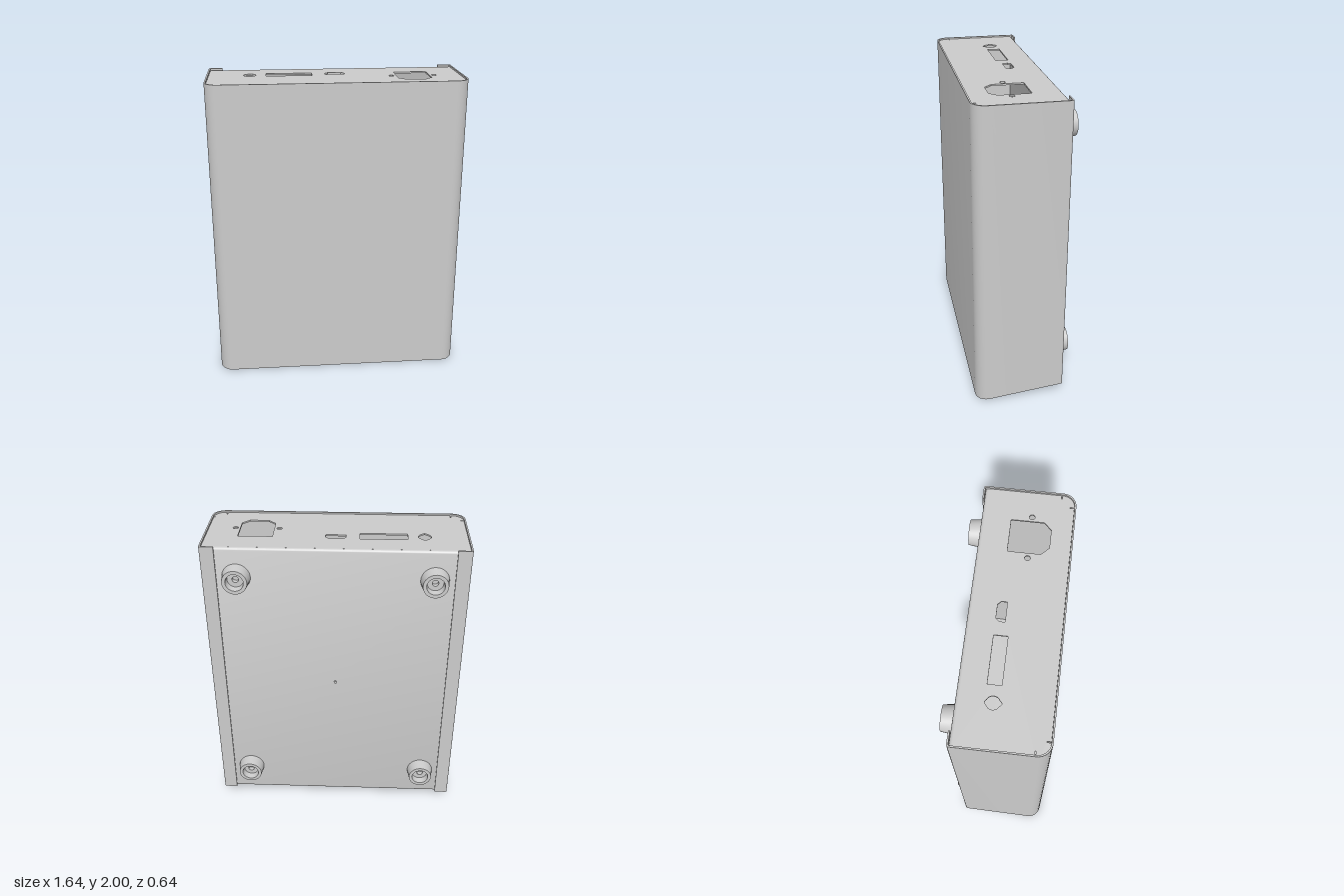
import * as THREE from 'three';
import { toCreasedNormals } from 'three/addons/utils/BufferGeometryUtils.js';

const material = new THREE.MeshStandardMaterial({ color: 0xcccccc, side: THREE.DoubleSide });
const coverCut = z => 0.005 + (0.32 - z) * 0.105; // slanted lower rim of the cover
const plateY = z => 0.065 - 0.055 * (z + 0.25); // underside of the bottom plate

function arc(cx, cz, r, from, to, n = 8) {
  return Array.from({ length: n + 1 }, (_, i) => {
    const a = THREE.MathUtils.degToRad(from + (to - from) * i / n);
    return [cx + r * Math.cos(a), cz + r * Math.sin(a)];
  });
}
const circle = (x, z, r, n = 20) => arc(x, z, r, 0, 360 - 360 / n, n - 1);
const rect = (x0, z0, x1, z1) => [[x0, z0], [x1, z0], [x1, z1], [x0, z1]];

// Plan outline inset by t, running from the right rear lip round the front to the left one
function outline(t, back, backRadius) {
  const w = 0.82 - t, front = 0.32 - t, r = 0.085 - t;
  const half = [
    [0.73, back],
    ...arc(w - backRadius, back + backRadius, backRadius, -90, 0, 4),
    ...arc(w - r, front - r, r, 0, 90, 10),
  ];
  return [...half, ...half.map(([x, z]) => [-x, z]).reverse()];
}

// Extrude an (x, z) plan upwards from y
function slab(plan, holes, depth, y = 0) {
  const vec = pts => pts.map(([x, z]) => new THREE.Vector2(x, -z));
  const shape = new THREE.Shape(vec(plan));
  shape.holes = holes.map(h => new THREE.Path(vec(h)));
  return new THREE.ExtrudeGeometry(shape, { depth, bevelEnabled: false })
    .rotateX(-Math.PI / 2).translate(0, y, 0);
}

// Extrude a (z, y) side profile across x0..x1
function across(profile, x0, x1) {
  const shape = new THREE.Shape(profile.map(([z, y]) => new THREE.Vector2(-z, y)));
  return new THREE.ExtrudeGeometry(shape, { depth: x1 - x0, bevelEnabled: false })
    .rotateY(Math.PI / 2).translate(x0, 0, 0);
}

// Move each vertex to a new height
function reshape(geo, rule) {
  const p = geo.attributes.position;
  for (let i = 0; i < p.count; i++) p.setY(i, rule(p.getY(i), p.getZ(i)));
  return geo;
}

const lathe = (pts, n = 32) =>
  new THREE.LatheGeometry(pts.map(([r, y]) => new THREE.Vector2(r, y)), n);

export function createModel() {
  const model = new THREE.Group();
  const add = (name, geo, parent = model) => {
    const mesh = new THREE.Mesh(toCreasedNormals(geo, 0.5), material);
    mesh.name = name;
    parent.add(mesh);
    return mesh;
  };

  // Wrap-around cover with narrow rear lips and a slanted lower rim
  const wrap = [...outline(0, -0.25, 0.012), ...outline(0.01, -0.24, 0.003).reverse()];
  add('cover', reshape(slab(wrap, [], 2), (y, z) => (y < 1 ? coverCut(z) : y)));

  // Top plate with connector openings
  const roundSocket = arc(-0.545, -0.03, 0.04, 25, 65, 3)
    .concat([[-0.535, 0.015], [-0.545, 0.02], [-0.555, 0.015]],
      arc(-0.545, -0.03, 0.04, 115, 245, 8),
      [[-0.555, -0.073], [-0.545, -0.077], [-0.535, -0.073]],
      arc(-0.545, -0.03, 0.04, 295, 360, 4));
  const smallPort = [[-0.06, -0.02], [-0.06, -0.055], [-0.04, -0.075],
    [0.047, -0.075], [0.067, -0.055], [0.067, -0.02]];
  const powerInlet = [[0.395, -0.06], [0.61, -0.06], [0.61, 0.14],
    [0.565, 0.185], [0.442, 0.185], [0.395, 0.138]];
  const slits = [];
  for (const s of [-1, 1]) {
    slits.push(rect(s * 0.727, 0.283, s * 0.733, 0.306));
    slits.push(rect(s * 0.787, 0.225, s * 0.806, 0.231));
  }
  add('topPlate', slab(outline(0.011, -0.22, 0.001), [
    roundSocket, rect(-0.44, -0.075, -0.145, 0.007), smallPort, powerInlet,
    circle(0.362, 0.063, 0.017), circle(0.64, 0.063, 0.017), ...slits,
  ], 0.01, 1.98));

  // Rear panel with rounded bends at both ends
  const bend = r => [...arc(0.219, 0.085, r, -90, 0, 5), ...arc(0.219, 1.97, r, 0, 90, 5)]
    .map(([z, y]) => [-z, y]);
  add('rearPanel', across([...bend(0.02), ...bend(0.01).reverse()], -0.808, 0.808));
  add('rearStud', new THREE.CylinderGeometry(0.009, 0.009, 0.02, 12)
    .rotateX(Math.PI / 2).translate(0, 1.03, -0.24));

  // Sloping bottom plate: switch opening, vent holes, round jack
  const jackX = -0.55, jackZ = -0.01;
  const vents = [[0, 0], [-0.075, 0], [0.075, 0], [0, -0.055], [0, 0.055]]
    .map(([x, z]) => circle(x, 0.02 + z, 0.025));
  add('bottomPlate', reshape(slab(outline(0.011, -0.22, 0.001),
    [rect(0.49, -0.075, 0.71, 0.115), circle(jackX, jackZ, 0.07, 28), ...vents], 0.01),
  (y, z) => y + plateY(z)));

  // Rocker switch
  const rocker = new THREE.Group();
  rocker.name = 'rockerSwitch';
  model.add(rocker);
  add('switchFrame', reshape(
    slab(rect(0.47, -0.1, 0.73, 0.14), [rect(0.5, -0.07, 0.7, 0.11)], 0.012, -0.012),
    (y, z) => y + plateY(z)), rocker);
  add('switchPaddle', across([[-0.07, 0.06], [-0.07, 0.035], [-0.04, 0.005],
    [0.03, 0.045], [0.11, 0.065], [0.11, 0.09], [-0.07, 0.09]], 0.505, 0.695), rocker);
  add('switchBody', new THREE.BoxGeometry(0.24, 0.16, 0.21).translate(0.6, 0.15, 0.025), rocker);
  for (const x of [0.517, 0.6, 0.683])
    for (const z of [-0.04, 0.03, 0.105])
      add('switchTerminal', new THREE.BoxGeometry(0.045, 0.08, 0.008).translate(x, 0.27, z), rocker);

  // Recessed round jack
  const jack = new THREE.Group();
  jack.name = 'roundJack';
  jack.position.set(jackX, plateY(jackZ), jackZ);
  jack.rotation.x = 0.055;
  model.add(jack);
  add('jackCollar', lathe([[0.068, 0.1], [0.068, 0], [0.09, 0], [0.09, -0.006], [0.082, -0.012],
    [0.066, -0.012], [0.056, 0], [0.056, 0.1], [0.068, 0.1]].reverse()), jack);
  add('jackFloor', slab(circle(0, 0, 0.058, 28),
    [rect(-0.03, -0.024, 0.03, -0.012), rect(-0.03, 0.012, 0.03, 0.024)], 0.01, 0.06)
    .rotateY(0.7), jack);
  add('jackPin', new THREE.CylinderGeometry(0.009, 0.009, 0.05, 12).translate(0, 0.04, 0), jack);

  // Four tapered rear feet with screw recesses
  const footShape = lathe([[0.088, 0], [0.078, 0.08], [0.056, 0.08], [0.05, 0.035],
    [0.02, 0.035], [0.02, 0.005], [0, 0.005]]).rotateX(-Math.PI / 2);
  for (const x of [-0.607, 0.607])
    for (const y of [0.27, 1.798])
      add('foot', footShape).position.set(x, y, -0.239);

  return model;
}
